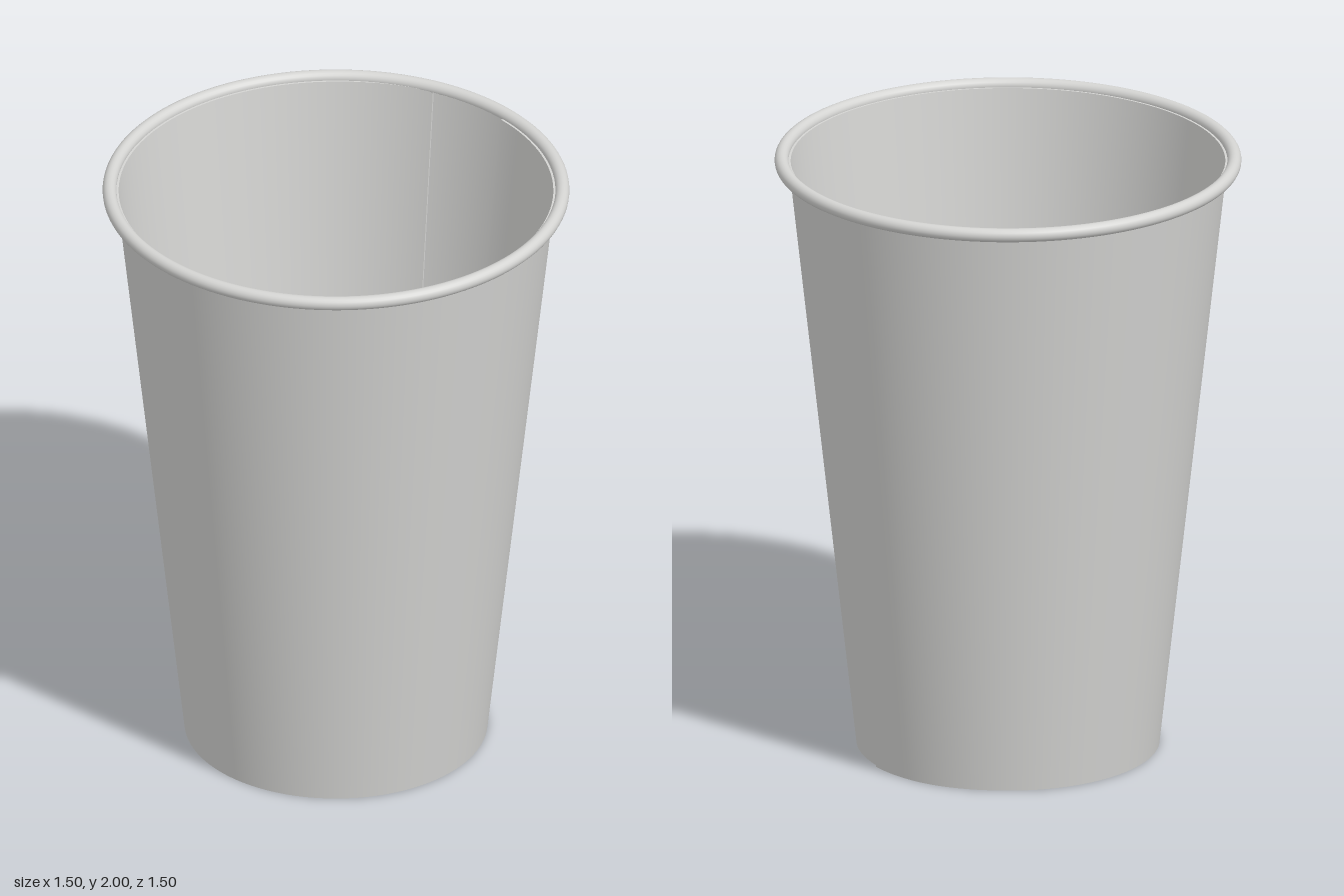
import * as THREE from 'three';
import { mergeGeometries } from 'three/addons/utils/BufferGeometryUtils.js';

const RAD = Math.PI / 180;
const WALL_TOP = 1.975;
const THICK = 0.007;
const STEP = 0.008;                 // how far the outer end of the sheet stands out
const OVERLAP = 23 * RAD;
const START = Math.PI - 5 * RAD;    // outer edge of the seam, at the back

// outer radius of the tapered wall
const radiusAt = (y) => 0.487 + 0.1105 * y;

// revolves each straight side of a closed profile separately, so edges stay sharp
function sharpLathe(points, segments, start = 0, length = Math.PI * 2, closed = true) {
  const sides = [];
  const count = closed ? points.length : points.length - 1;
  for (let i = 0; i < count; i++) {
    const pair = [points[i], points[(i + 1) % points.length]].map(([x, y]) => new THREE.Vector2(x, y));
    sides.push(new THREE.LatheGeometry(pair, segments, start, length));
  }
  return mergeGeometries(sides);
}

// sheet offset: full across the overlap, then easing back to zero
function sheetOffset(angle) {
  return STEP * (1 - THREE.MathUtils.smoothstep(angle, OVERLAP, OVERLAP + 35 * RAD));
}

function wallGeometry() {
  const profile = [
    [radiusAt(0), 0], [radiusAt(WALL_TOP), WALL_TOP],
    [radiusAt(WALL_TOP) - THICK, WALL_TOP], [radiusAt(0) - THICK, 0],
  ];
  const length = Math.PI * 2 + OVERLAP;
  const sheet = sharpLathe(profile, 136, START, length);

  // push the lapped end of the sheet outwards
  const pos = sheet.attributes.position;
  for (let i = 0; i < pos.count; i++) {
    const x = pos.getX(i), z = pos.getZ(i);
    const r = Math.hypot(x, z);
    // the side index gives the sweep position of each vertex
    const column = Math.floor((i % (2 * 137)) / 2);
    const k = (r + sheetOffset(column / 136 * length)) / r;
    pos.setX(i, x * k);
    pos.setZ(i, z * k);
  }

  // close the cut ends of the sheet
  const ends = [[START, STEP], [START + length, 0]].map(([angle, offset]) => {
    const shape = new THREE.Shape(profile.map(([x, y]) => new THREE.Vector2(x + offset, y)));
    return new THREE.ShapeGeometry(shape).rotateY(angle - Math.PI / 2);
  });
  return mergeGeometries([sheet, ...ends]);
}

export function createModel() {
  const cup = new THREE.Group();
  cup.name = 'cup';
  const paper = new THREE.MeshStandardMaterial({ color: 0xd4d4d2, side: THREE.DoubleSide });
  paper.name = 'light grey paper';

  const add = (name, geometry) => {
    const mesh = new THREE.Mesh(geometry, paper);
    mesh.name = name;
    cup.add(mesh);
    return mesh;
  };

  // tapered wall, one sheet lapped over itself at the back
  add('wall', wallGeometry());

  // recessed floor with a skirt running down to the foot
  const inner = (y) => radiusAt(y) - THICK;
  add('floor', sharpLathe([
    [0, 0.112],
    [inner(0.112) - 0.006, 0.112],
    [inner(0.004) - 0.006, 0.004],
    [inner(0.004), 0.004],
    [inner(0.12), 0.12],
    [0, 0.12],
  ], 128, 0, Math.PI * 2, false));

  // rolled rim
  const rim = add('rim', new THREE.TorusGeometry(0.7275, 0.0225, 20, 128));
  rim.rotation.x = Math.PI / 2;
  rim.position.y = 1.9775;

  return cup;
}
